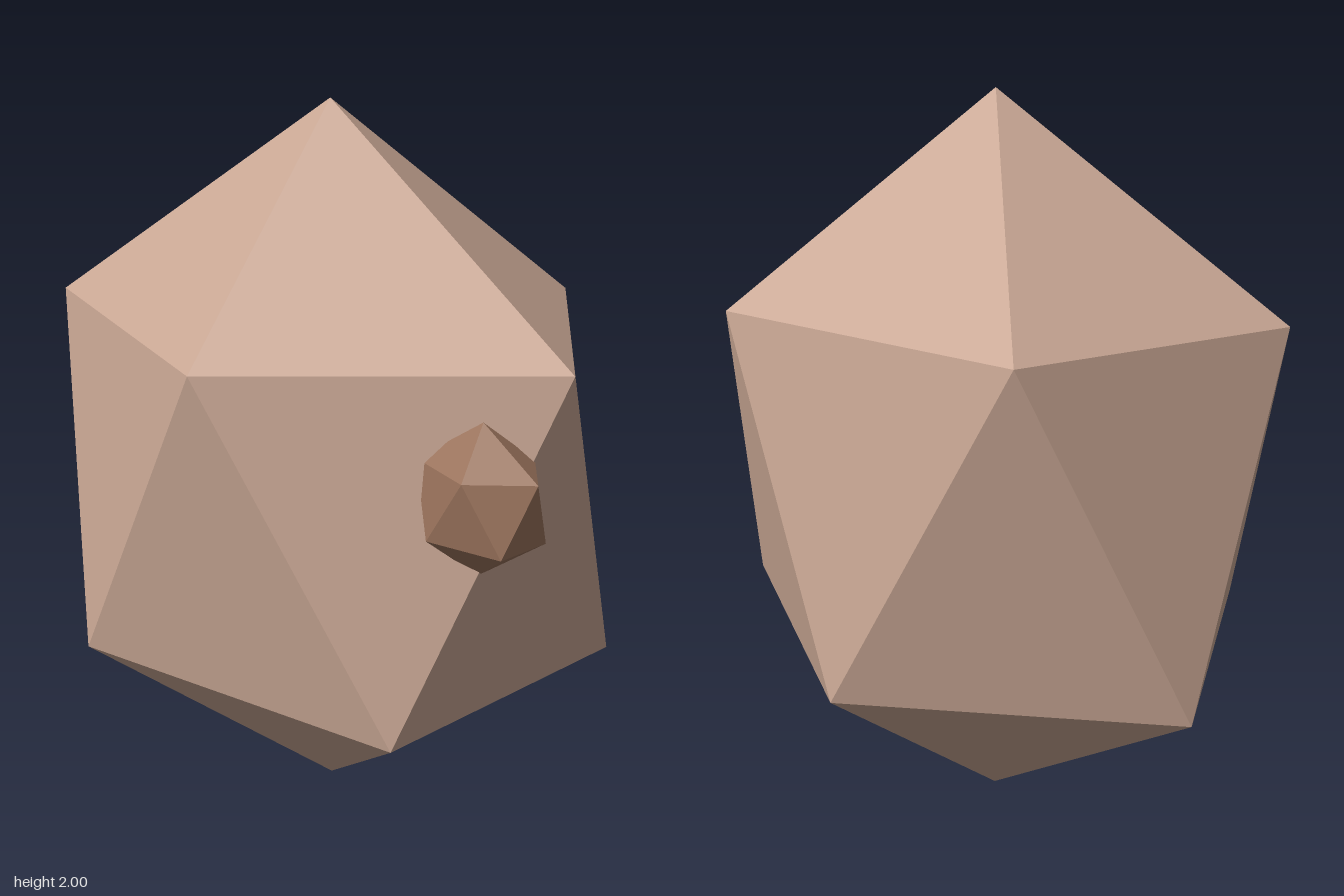
import * as THREE from 'three';

// Faceted twenty-sided solid standing on one point, stretched along each axis
function facetedBody(name, material, radii, centre) {
  const golden = (1 + Math.sqrt(5)) / 2;
  const geometry = new THREE.IcosahedronGeometry(1, 0);
  geometry.rotateZ(-Math.atan(1 / golden)); // bring one corner straight up
  geometry.scale(...radii);
  const mesh = new THREE.Mesh(geometry, material);
  mesh.name = name;
  mesh.position.set(...centre);
  return mesh;
}

export function createModel() {
  const paleStone = new THREE.MeshStandardMaterial({ color: 0xc8a693, flatShading: true });
  paleStone.name = 'paleStone';
  const brownStone = new THREE.MeshStandardMaterial({ color: 0x9a735c, flatShading: true });
  brownStone.name = 'brownStone';

  const model = new THREE.Group();
  model.name = 'boulder';
  // Large main rock
  model.add(facetedBody('mainRock', paleStone, [0.946, 1, 0.777], [-0.036, 1, 0]));
  // Small lump half sunk into its left side
  model.add(facetedBody('sideLump', brownStone, [0.19, 0.19, 0.144], [0.71, 1.165, 0.192]));
  return model;
}
